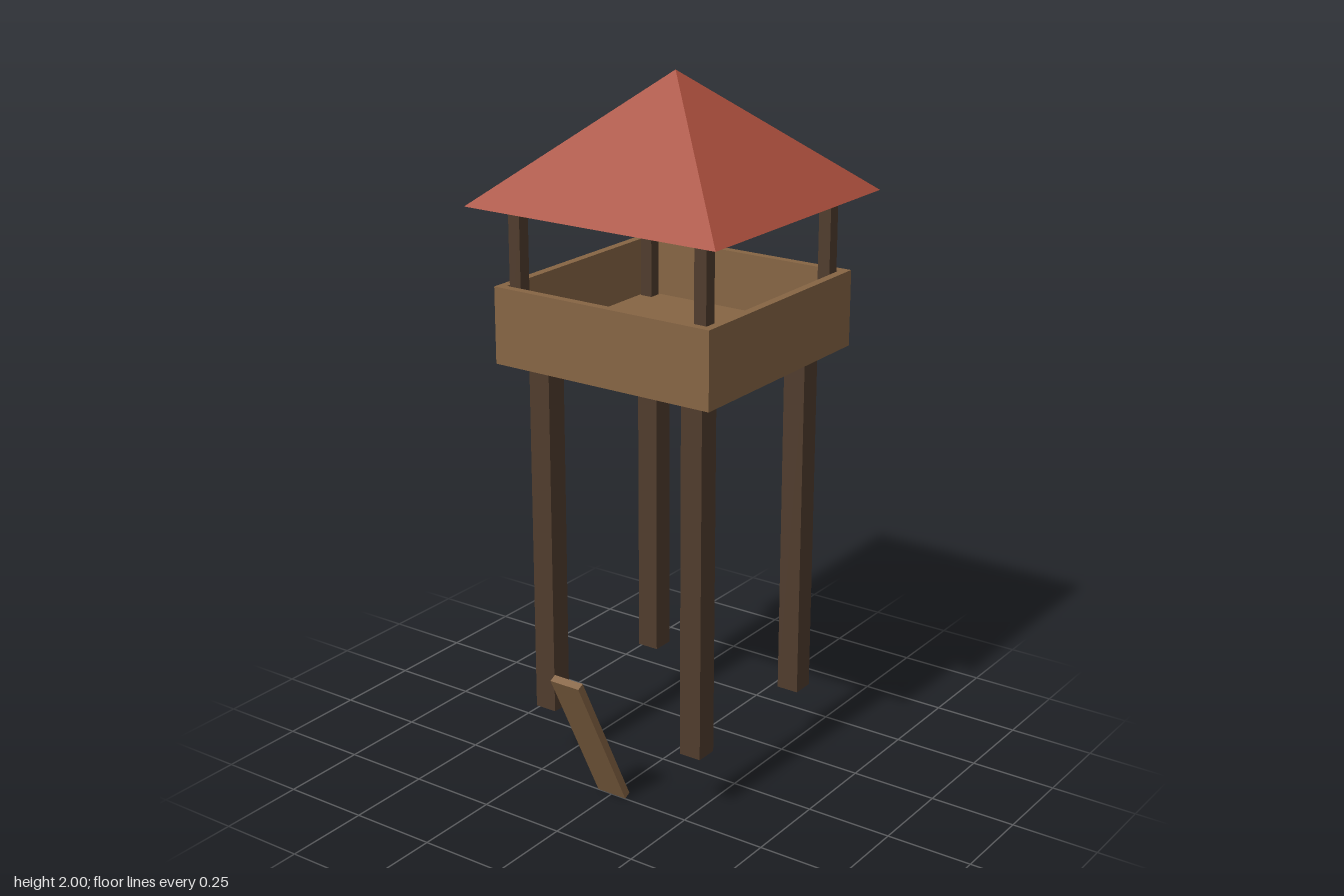
import * as THREE from 'three';

export function createModel() {
  const model = new THREE.Group();
  model.name = 'watchtower';

  const material = (name, color) => {
    const m = new THREE.MeshStandardMaterial({ color, flatShading: true });
    m.name = name;
    return m;
  };
  const plank = material('plank wood', 0x866544);
  const timber = material('dark timber', 0x503c2d);
  const tile = material('red roof', 0xa84d3b);

  const tower = new THREE.Group();
  tower.name = 'tower';
  tower.position.z = -0.057;
  model.add(tower);

  // Box given by its size, centre in x and z, and its bottom height
  const box = (name, mat, w, h, d, x, bottom, z) => {
    const mesh = new THREE.Mesh(new THREE.BoxGeometry(w, h, d), mat);
    mesh.name = name;
    mesh.position.set(x, bottom + h / 2, z);
    tower.add(mesh);
    return mesh;
  };

  // Legs below the platform and thinner posts carrying the roof
  for (const sx of [-1, 1]) {
    for (const sz of [-1, 1]) {
      box('leg', timber, 0.066, 1.035, 0.066, sx * 0.25, 0.185, sz * 0.25);
      box('roofPost', timber, 0.037, 0.388, 0.037, sx * 0.298, 1.27, sz * 0.298);
    }
  }

  // Platform floor with a parapet on all four sides
  const size = 0.692, wall = 0.024, offset = (size - wall) / 2;
  box('floor', plank, size, 0.05, size, 0, 1.22, 0);
  for (const s of [-1, 1]) {
    box('parapet', plank, size, 0.166, wall, 0, 1.27, s * offset);
    box('sideParapet', plank, wall, 0.166, size - 2 * wall, s * offset, 1.27, 0);
  }

  // Pyramid roof
  const roofGeometry = new THREE.ConeGeometry(0.398 * Math.SQRT2, 0.343, 4);
  roofGeometry.rotateY(Math.PI / 4);
  const roof = new THREE.Mesh(roofGeometry, tile);
  roof.name = 'roof';
  roof.position.y = 1.657 + 0.343 / 2;
  tower.add(roof);

  // Loose board leaning forward in front of the tower
  const board = new THREE.Mesh(new THREE.BoxGeometry(0.094, 0.472, 0.022), plank);
  board.name = 'leaningBoard';
  board.position.set(0, 0.217, 0.343);
  board.rotation.x = 0.455;
  model.add(board);

  return model;
}
